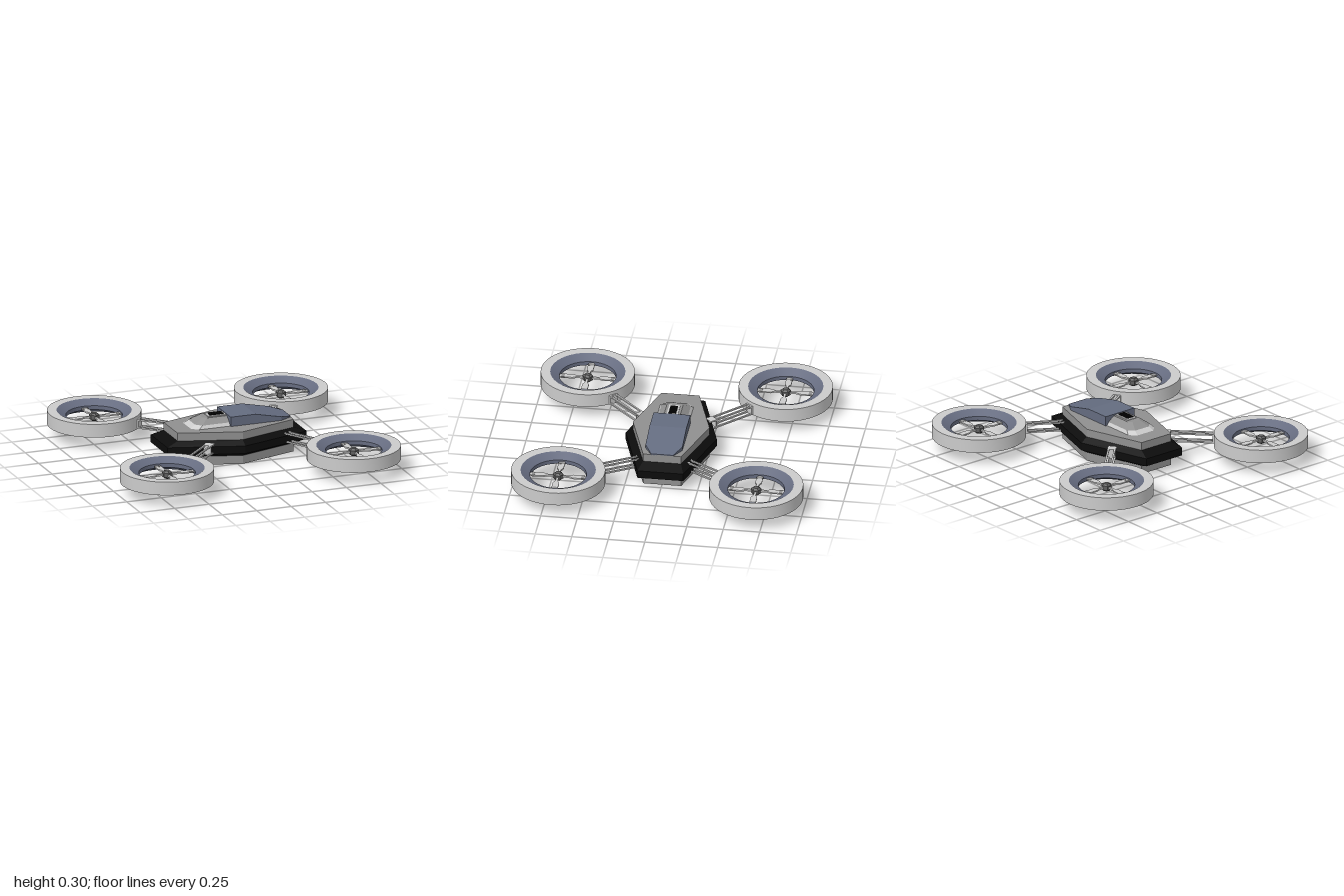
import * as THREE from 'three';
import { toCreasedNormals } from 'three/addons/utils/BufferGeometryUtils.js';

const mat = (color, flatShading = true) =>
  new THREE.MeshStandardMaterial({ color, flatShading, side: THREE.DoubleSide });
const light = mat(0xcccccc), smooth = mat(0xcccccc, false), grey = mat(0x909090);
const black = mat(0x0c0c0c), glass = mat(0x646c80), liner = mat(0x666c80, false), dark = mat(0x606060);

function add(parent, name, geometry, material, x = 0, y = 0, z = 0) {
  const m = new THREE.Mesh(geometry, material);
  m.name = name;
  m.position.set(x, y, z);
  parent.add(m);
  return m;
}

// Joins matching cross-sections into a closed, faceted solid
function loft(sections) {
  const pos = [];
  const tri = (a, b, c) => pos.push(...a, ...b, ...c);
  const n = sections[0].length, last = sections[sections.length - 1];
  for (let s = 0; s < sections.length - 1; s++) {
    const lo = sections[s], hi = sections[s + 1];
    for (let i = 0; i < n; i++) {
      const j = (i + 1) % n;
      tri(lo[i], lo[j], hi[j]);
      tri(lo[i], hi[j], hi[i]);
    }
  }
  for (let i = 1; i < n - 1; i++) {
    tri(sections[0][0], sections[0][i + 1], sections[0][i]);
    tri(last[0], last[i], last[i + 1]);
  }
  const g = new THREE.BufferGeometry();
  g.setAttribute('position', new THREE.Float32BufferAttribute(pos, 3));
  g.computeVertexNormals();
  return g;
}

// Long hexagon at height y, pointed toward both sides
const hex = (y, halfX, endZ, midZ, cx = 0.034) => [
  [cx + halfX, y, endZ], [cx + halfX, y, -endZ], [cx, y, -midZ],
  [cx - halfX, y, -endZ], [cx - halfX, y, endZ], [cx, y, midZ]];
const inner = y => hex(y, 0.422, 0.13, 0.262);
const outer = y => hex(y, 0.506, 0.157, 0.312);

// Rear hump outline with clipped back corners
const hump = (y, x0, cut, z) => [
  [0, y, z], [0, y, -z], [x0 + cut, y, -z], [x0, y, -z + cut], [x0, y, z - cut], [x0 + cut, y, z]];

function buildBody() {
  const body = new THREE.Group();
  body.name = 'body';
  add(body, 'lowerHull', loft([inner(0), inner(0.065)]), grey);
  add(body, 'bumperBelt', loft([inner(0.06), outer(0.088), outer(0.142), inner(0.172)]), black);
  add(body, 'upperHull', loft([inner(0.17), inner(0.228)]), grey);

  // Canopy: rectangular sections running forward
  const rect = (x, top, z) => [[x, 0.222, -z], [x, top, -z], [x, top, z], [x, 0.222, z]];
  add(body, 'canopy', loft([rect(0, 0.295, 0.126), rect(0.18, 0.295, 0.126),
    rect(0.37, 0.254, 0.126), rect(0.456, 0.234, 0.075)]), glass);

  // Hump behind the canopy with its vent
  add(body, 'humpSkirt', loft([hump(0.225, -0.275, 0.045, 0.116), hump(0.25, -0.235, 0.04, 0.1)]), light);
  add(body, 'hump', loft([hump(0.25, -0.235, 0.04, 0.1), hump(0.285, -0.17, 0.025, 0.055)]), grey);
  add(body, 'ventFrame', new THREE.BoxGeometry(0.13, 0.008, 0.076), light, -0.065, 0.286, 0);
  add(body, 'ventBase', new THREE.BoxGeometry(0.1, 0.004, 0.05), black, -0.062, 0.29, 0);
  for (let i = 0; i < 5; i++)
    add(body, 'ventSlat', new THREE.BoxGeometry(0.014, 0.005, 0.05), black, -0.102 + i * 0.02, 0.294, 0);
  return body;
}

const profile = pts => pts.map(p => new THREE.Vector2(...p));
const shellGeometry = toCreasedNormals(new THREE.LatheGeometry(
  profile([[0.255, -0.047], [0.32, -0.047], [0.32, 0.047], [0.255, 0.047]]), 40), 0.5);
const linerGeometry = toCreasedNormals(new THREE.LatheGeometry(
  profile([[0.255, 0.047], [0.192, 0.014], [0.192, -0.014], [0.255, -0.047]]), 40), 0.4);

// Blade sections along x: thin root widening to a paddle
const bladeSection = ([x, w, h]) => [[x, -h, -w], [x, h, -w], [x, h, w], [x, -h, w]];
const bladeGeometry = loft([[0.02, 0.008, 0.006], [0.075, 0.008, 0.006], [0.1, 0.022, 0.005],
  [0.16, 0.022, 0.004], [0.193, 0.018, 0.004]].map(bladeSection));

function buildRotor(x, z) {
  const rotor = new THREE.Group();
  rotor.name = 'rotor';
  rotor.position.set(x, 0.137, z);
  add(rotor, 'ductShell', shellGeometry, smooth);
  add(rotor, 'ductLiner', linerGeometry, liner);
  add(rotor, 'hub', new THREE.CylinderGeometry(0.036, 0.036, 0.03, 6), dark);
  for (const s of [1, -1])
    add(rotor, 'hubCap', new THREE.CylinderGeometry(s > 0 ? 0.02 : 0.036, s > 0 ? 0.036 : 0.02, 0.012, 6),
      dark, 0, s * 0.021, 0);
  for (let i = 0; i < 4; i++) {
    const blade = new THREE.Group();
    blade.name = 'blade';
    blade.rotation.y = i * Math.PI / 2;
    add(blade, 'paddle', bladeGeometry, light);
    add(blade, 'tipBand', new THREE.BoxGeometry(0.022, 0.0105, 0.045), grey, 0.169, 0, 0);
    rotor.add(blade);
  }
  return rotor;
}

// Four-rod arm from the hull (a) to a duct (b), as [x, z] points
function buildArm(a, b, width, bracket) {
  const arm = new THREE.Group();
  arm.name = 'arm';
  arm.position.set(a[0], 0.126, a[1]);
  arm.rotation.y = Math.atan2(a[1] - b[1], b[0] - a[0]);
  const length = Math.hypot(b[0] - a[0], b[1] - a[1]);
  for (const sy of [1, -1]) {
    for (const sz of [1, -1])
      add(arm, 'rod', new THREE.BoxGeometry(length, 0.01, 0.012), light,
        length / 2, sy * 0.028, sz * (width / 2 - 0.006));
    if (bracket)
      add(arm, 'bracketPlate', new THREE.BoxGeometry(0.055, 0.006, width + 0.004), light, 0.035, sy * 0.031, 0);
  }
  if (bracket) add(arm, 'bracketWall', new THREE.BoxGeometry(0.008, 0.06, width), light, 0.058, 0, 0);
  add(arm, 'ductMount', new THREE.BoxGeometry(0.02, 0.066, width + 0.004), light, length - 0.012, 0, 0);
  return arm;
}

export function createModel() {
  const model = new THREE.Group();
  model.name = 'quadcopter';
  model.add(buildBody());
  for (const s of [1, -1]) {
    for (const x of [0.679, -0.679]) model.add(buildRotor(x, s * 0.678));
    model.add(buildArm([0.385, s * 0.175], [0.525, s * 0.412], 0.05, false));
    model.add(buildArm([-0.18, s * 0.215], [-0.445, s * 0.478], 0.055, true));
  }
  return model;
}
